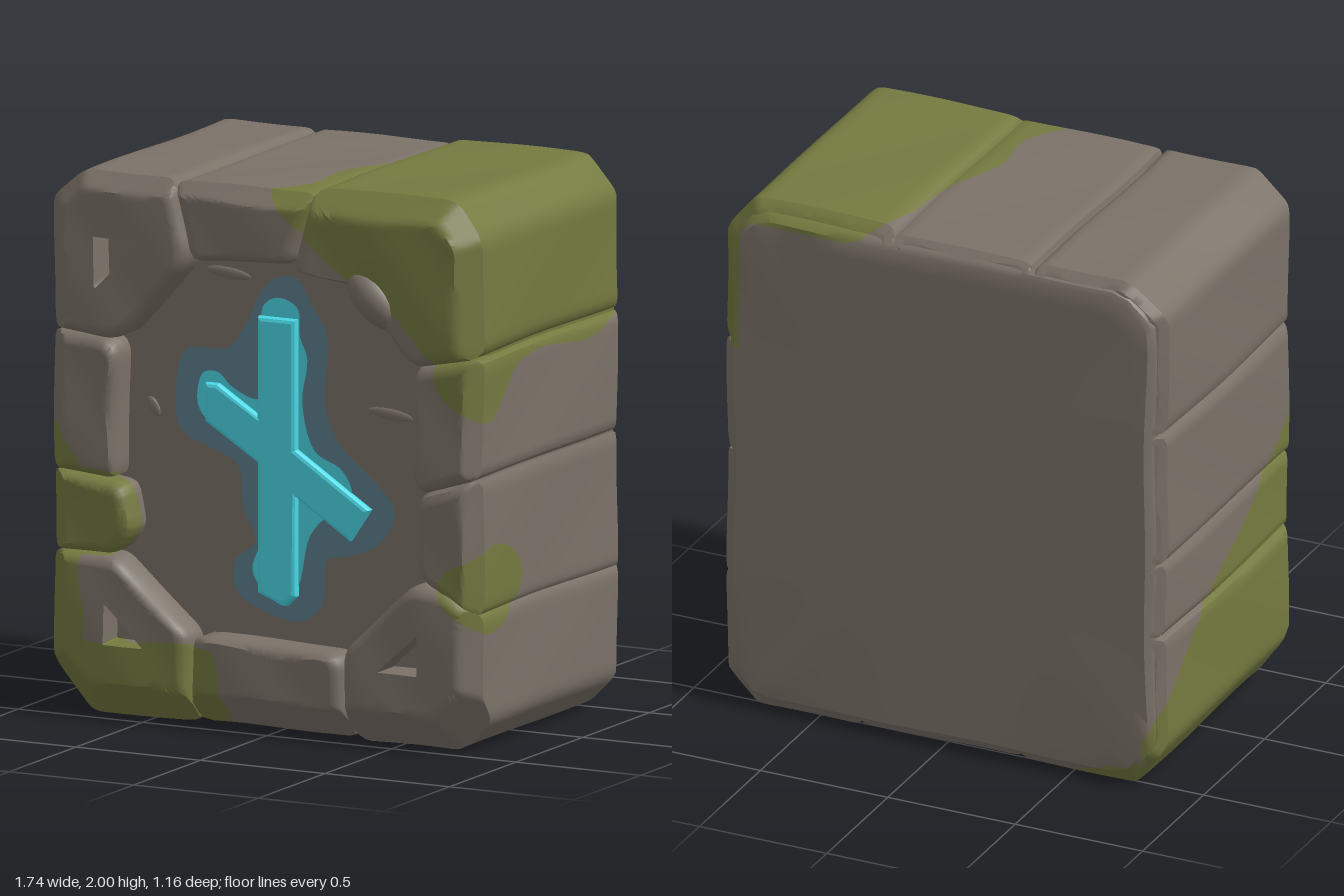
import * as THREE from 'three';
import { toCreasedNormals } from 'three/addons/utils/BufferGeometryUtils.js';

const material = (name, color, side = THREE.FrontSide) => {
  const m = new THREE.MeshStandardMaterial({ color, side });
  m.name = name;
  return m;
};
const stone = material('stone', 0x7b7268);
const moss = material('moss', 0x757a40);
const rune = material('rune cyan', 0x4ad8e6);
const halo = material('halo blue', 0x5c7e8d, THREE.DoubleSide);

const FRONT = 0.55, BACK = -0.575, PANEL = 0.415, SIDES = 112;

// Positive where moss grows
function mossField(x, y, z) {
  const wobble = 0.02 * Math.sin(11 * x + 9 * z) + 0.016 * Math.sin(17 * y - 12 * z + 6 * x);
  const depth = Math.max(0, 0.5 - z);
  const topCorner = 0.8 * x + y - 1.97 - 0.22 * (1 - Math.exp(-2 * depth));
  const topSide = Math.min(x - 0.74, y - 1.395);
  const lowCorner = Math.min(
    Math.max(-0.72 - x, 0.29 - y),
    0.7 + 0.68 * z - y - (x + 0.86),
    -0.19 - 0.13 * THREE.MathUtils.smoothstep(depth, 0, 0.4) - x);
  const patch = (a, b, c, r, squash = 1) => r - Math.hypot(x - a, (y - b) * squash, z - c);
  const growth = Math.max(topCorner, topSide, lowCorner,
    patch(-0.66, 0.76, 0.5, 0.18), patch(0.87, 0.6, 0.39, 0.21, 1.45), patch(0.84, 1.42, 0.42, 0.19));
  // none on the recessed panel or the back face
  const rim = Math.max(Math.abs(x) - 0.79, Math.abs(y - 1) - 0.92, z - PANEL - 0.02);
  return Math.min(growth + wobble, rim);
}

// Cuts every triangle along the moss line and sorts the halves into two material groups
function paintMoss(geometry) {
  const P = geometry.attributes.position, N = geometry.attributes.normal;
  const parts = [{ pos: [], nor: [] }, { pos: [], nor: [] }];
  const vertex = i => {
    const p = new THREE.Vector3().fromBufferAttribute(P, i);
    return { p, n: new THREE.Vector3().fromBufferAttribute(N, i), f: mossField(p.x, p.y, p.z) };
  };
  const area = new THREE.Vector3(), edge = new THREE.Vector3();
  for (let i = 0; i < P.count; i += 3) {
    const tri = [vertex(i), vertex(i + 1), vertex(i + 2)];
    area.subVectors(tri[1].p, tri[0].p).cross(edge.subVectors(tri[2].p, tri[0].p));
    if (area.length() < 1e-9) continue;
    parts.forEach((part, k) => {
      const inside = v => (k ? v.f > 0 : v.f <= 0), poly = [];
      tri.forEach((a, j) => {
        const b = tri[(j + 1) % 3];
        if (inside(a)) poly.push(a);
        if (inside(a) !== inside(b)) {
          const t = a.f / (a.f - b.f);
          poly.push({ p: a.p.clone().lerp(b.p, t), n: a.n.clone().lerp(b.n, t).normalize() });
        }
      });
      for (let j = 1; j + 1 < poly.length; j++)
        for (const v of [poly[0], poly[j], poly[j + 1]]) {
          part.pos.push(v.p.x, v.p.y, v.p.z);
          part.nor.push(v.n.x, v.n.y, v.n.z);
        }
    });
  }
  const out = new THREE.BufferGeometry();
  out.setAttribute('position', new THREE.Float32BufferAttribute(parts[0].pos.concat(parts[1].pos), 3));
  out.setAttribute('normal', new THREE.Float32BufferAttribute(parts[0].nor.concat(parts[1].nor), 3));
  const split = parts[0].pos.length / 3;
  out.addGroup(0, split, 0);
  out.addGroup(split, parts[1].pos.length / 3, 1);
  return out;
}

// Distance from a centre to a polygon's edge in one direction
function reach(poly, [cx, cy], angle) {
  const dx = Math.cos(angle), dy = Math.sin(angle);
  let best = 0;
  poly.forEach(([ax, ay], i) => {
    const [bx, by] = poly[(i + 1) % poly.length];
    const ex = bx - ax, ey = by - ay, det = ex * dy - ey * dx;
    if (Math.abs(det) < 1e-9) return;
    const t = (ex * (ay - cy) - ey * (ax - cx)) / det;
    const u = (dx * (ay - cy) - dy * (ax - cx)) / det;
    if (t > 0 && u >= -1e-6 && u <= 1 + 1e-6) best = Math.max(best, t);
  });
  return best;
}

const middle = poly => [0, 1].map(k => poly.reduce((s, p) => s + p[k], 0) / poly.length);

// Rounds every corner of an outline with a short three-point arc
function rounded(poly, r) {
  return poly.flatMap((p, i) => {
    const toward = q => {
      const t = Math.min(0.45, r / Math.hypot(q[0] - p[0], q[1] - p[1]));
      return [p[0] + (q[0] - p[0]) * t, p[1] + (q[1] - p[1]) * t];
    };
    const a = toward(poly.at(i - 1)), b = toward(poly[(i + 1) % poly.length]);
    return [a, [0, 1].map(k => (a[k] + b[k]) / 4 + p[k] / 2), b];
  });
}

// Soft dents, then a chamfer along the block's outer edges, widest at the front foot
function weather(p) {
  const { x, y, z } = p;
  p.x += 0.004 * Math.sin(8 * y + 5 * z);
  p.y += 0.003 * Math.sin(9 * x + 6 * z);
  if (z > 0.5) p.z += 0.005 * Math.sin(13 * x + 2) * Math.sin(11 * y);
  const side = Math.abs(x) - 0.86, end = Math.abs(y - 1) - 0.99;
  const corner = (Math.abs(x) + Math.abs(y - 1) - 1.73) * 0.707, foot = y < 1 ? 0.06 : 0;
  p.z = Math.min(p.z, FRONT - 0.07 - Math.max(side, end + foot, corner + foot));
  p.z = Math.max(p.z, BACK + 0.055 + Math.max(side, end, corner));
  return p;
}

// One stone: outline loops from the back cap to the front cap, with an optional carved pit
function stoneGeometry(corners, pit, front = FRONT, back = BACK + 0.004) {
  const outline = rounded(corners, 0.035);
  const centre = middle(pit || outline);
  const rings = [[0, 0.5, back], [0, 0.1, back]];
  rings.push([0.03, 0, back], [0.009, 0, back + 0.009], [0, 0, back + 0.03]);
  const length = front - back - 0.07;
  for (let i = 1; i <= 13; i++) rings.push([0, 0, back + 0.03 + (i / 13) * length]);
  rings.push([0.012, 0, front - 0.014], [0.038, 0, front]);
  for (let i = 1; i <= 13; i++) rings.push([0.038 * (1 - i / 13), i / 13, front]);
  const points = [];
  const radii = Array.from({ length: SIDES }, (_, j) => {
    const a = (j / SIDES) * Math.PI * 2;
    return [a, reach(outline, centre, a), pit ? reach(pit, centre, a) : 0.01];
  });
  const addRing = (radius, z) => radii.forEach(r => {
    const d = radius(r);
    points.push(weather(new THREE.Vector3(centre[0] + d * Math.cos(r[0]), centre[1] + d * Math.sin(r[0]), z)));
  });
  addRing(() => 0, back);
  rings.forEach(([inset, t, z]) => addRing(([, o, i]) => (o - inset) * (1 - t) + i * t, z));
  if (pit) addRing(([, , i]) => i * 0.8, front - 0.09);
  const count = points.length / SIDES, index = [];
  for (let i = 0; i + 1 < count; i++)
    for (let j = 0; j < SIDES; j++) {
      const k = (j + 1) % SIDES, a = i * SIDES, b = a + SIDES;
      index.push(a + j, a + k, b + k, a + j, b + k, b + j);
    }
  const last = (count - 1) * SIDES;
  points.push(new THREE.Vector3(centre[0], centre[1], points[last].z));
  for (let j = 0; j < SIDES; j++) index.push(last + j, last + ((j + 1) % SIDES), points.length - 1);
  const g = new THREE.BufferGeometry().setFromPoints(points);
  g.setIndex(index);
  return paintMoss(toCreasedNormals(g, 0.7));
}

// Outline, pit and front depth of each frame stone
const STONES = {
  topRightCorner: [[[-.868, 1.4], [-.868, 1.86], [-.73, 1.98], [-.365, 1.98], [-.3, 1.74], [-.31, 1.68], [-.56, 1.4], [-.63, 1.38]],
    [[-.67, 1.75], [-.67, 1.56], [-.48, 1.75]]],
  topStone: [[[-.36, 1.975], [.2, 1.98], [.12, 1.72], [-.29, 1.69]]],
  topLeftCorner: [[[.2, 2], [.75, 2], [.86, 1.87], [.86, 1.45], [.6, 1.39], [.35, 1.67], [.12, 1.7]], null, 0.557],
  leftUpperStone: [[[.595, 1.39], [.86, 1.445], [.857, 1.01], [.62, .93], [.595, 1]], null, 0.537],
  leftLowerStone: [[[.62, .93], [.86, 1.01], [.86, .53], [.84, .51], [.62, .62], [.6, .7]], null, 0.54],
  bottomLeftCorner: [[[.33, .005], [.74, .005], [.86, .12], [.86, .515], [.75, .59], [.6, .61], [.32, .34]],
    [[.63, .43], [.47, .28], [.63, .28]]],
  bottomStone: [[[-.3, .02], [.33, .02], [.325, .3], [.29, .33], [-.28, .34]]],
  bottomRightCorner: [[[-.75, .005], [-.865, .17], [-.865, .595], [-.6, .6], [-.295, .34], [-.302, .015]],
    [[-.63, .43], [-.63, .28], [-.47, .28]]],
  rightLowerStone: [[[-.86, .597], [-.6, .605], [-.53, .7], [-.56, .86], [-.86, .89]], null, 0.54],
  rightUpperStone: [[[-.865, .89], [-.6, .875], [-.59, 1.34], [-.63, 1.385], [-.868, 1.39]], null, 0.54],
};

const CORE = [[-.735, .035], [.735, .035], [.832, .14], [.832, 1.855], [.73, 1.962], [-.72, 1.95], [-.832, 1.845], [-.832, .16]];
const RUNE = [[-.07, 1.5], [-.07, 1.14], [-.23, 1.24], [-.28, 1.24], [-.28, 1.1], [-.07, .97], [-.07, .5], [.04, .46],
  [.085, .5], [.085, .86], [.3, .72], [.38, .84], [.085, 1.03], [.085, 1.5]];
const SPLASH = [[-.06, 1.53], [0, 1.57], [.08, 1.54], [.09, 1.44], [.12, 1.36], [.1, 1.2], [.15, 1.03], [.26, .97], [.3, .88],
  [.2, .8], [.13, .72], [.09, .55], [.04, .46], [-.05, .5], [-.1, .58], [-.06, .7], [-.05, .95], [-.27, 1.09], [-.32, 1.16],
  [-.3, 1.27], [-.24, 1.28], [-.18, 1.23], [-.07, 1.2]];
const HALO = [[-.04, 1.62], [.07, 1.65], [.14, 1.55], [.2, 1.45], [.19, 1.2], [.25, 1.06], [.38, .95], [.47, .84], [.41, .72],
  [.28, .66], [.2, .64], [.18, .48], [.1, .41], [-.05, .43], [-.17, .5], [-.17, .61], [-.09, .68], [-.14, .8], [-.16, .95],
  [-.26, 1], [-.39, 1.06], [-.41, 1.2], [-.37, 1.35], [-.2, 1.37], [-.13, 1.46]];

const smoothShape = list => new THREE.Shape(
  new THREE.CatmullRomCurve3(list.map(([x, y]) => new THREE.Vector3(x, y, 0)), true)
    .getPoints(120).slice(0, -1).map(p => new THREE.Vector2(p.x, p.y)));

// Bevelled slab between two depths
function slab(list, back, front, bevel) {
  return new THREE.ExtrudeGeometry(new THREE.Shape(list.map(([x, y]) => new THREE.Vector2(x, y))), {
    depth: front - back - 2 * bevel, bevelThickness: bevel, bevelSize: bevel, bevelOffset: -bevel, bevelSegments: 2,
  }).translate(0, 0, back + bevel);
}

export function createModel() {
  const model = new THREE.Group();
  model.name = 'runeStone';
  const add = (name, geometry, mat, z = 0) => {
    const mesh = new THREE.Mesh(geometry, mat);
    mesh.name = name;
    mesh.position.z = z;
    model.add(mesh);
  };

  // Core block with the recessed panel, the groove floors and the flat back
  add('core', stoneGeometry(CORE, null, PANEL, BACK), [stone, moss]);

  // Frame stones
  for (const [name, [outline, pit, front]] of Object.entries(STONES))
    add(name, stoneGeometry(outline, pit, front), [stone, moss]);

  // Worn lump bulging from the inner corner
  add('cornerLump', new THREE.SphereGeometry(1, 24, 16).scale(0.15, 0.085, 0.1).rotateZ(-0.8).translate(0.44, 1.63, 0.485), stone);

  // Shallow chips on the panel
  for (const [x, y, w, h, turn] of [[-.5, 1.13, .04, .02, -1], [.45, 1.19, .09, .02, -.1], [-.2, 1.64, .09, .02, -.1]])
    add('panelChip', new THREE.SphereGeometry(1, 14, 8).scale(w, h, 0.007).rotateZ(turn).translate(x, y, PANEL), stone);

  // Glowing rune: halo and splash plates under the raised sign
  add('runeHalo', new THREE.ShapeGeometry(smoothShape(HALO)), halo, PANEL + 0.004);
  add('runeSplash', new THREE.ShapeGeometry(smoothShape(SPLASH)), rune, PANEL + 0.008);
  add('runeSign', slab(RUNE, PANEL - 0.01, PANEL + 0.035, 0.015), rune);
  return model;
}
